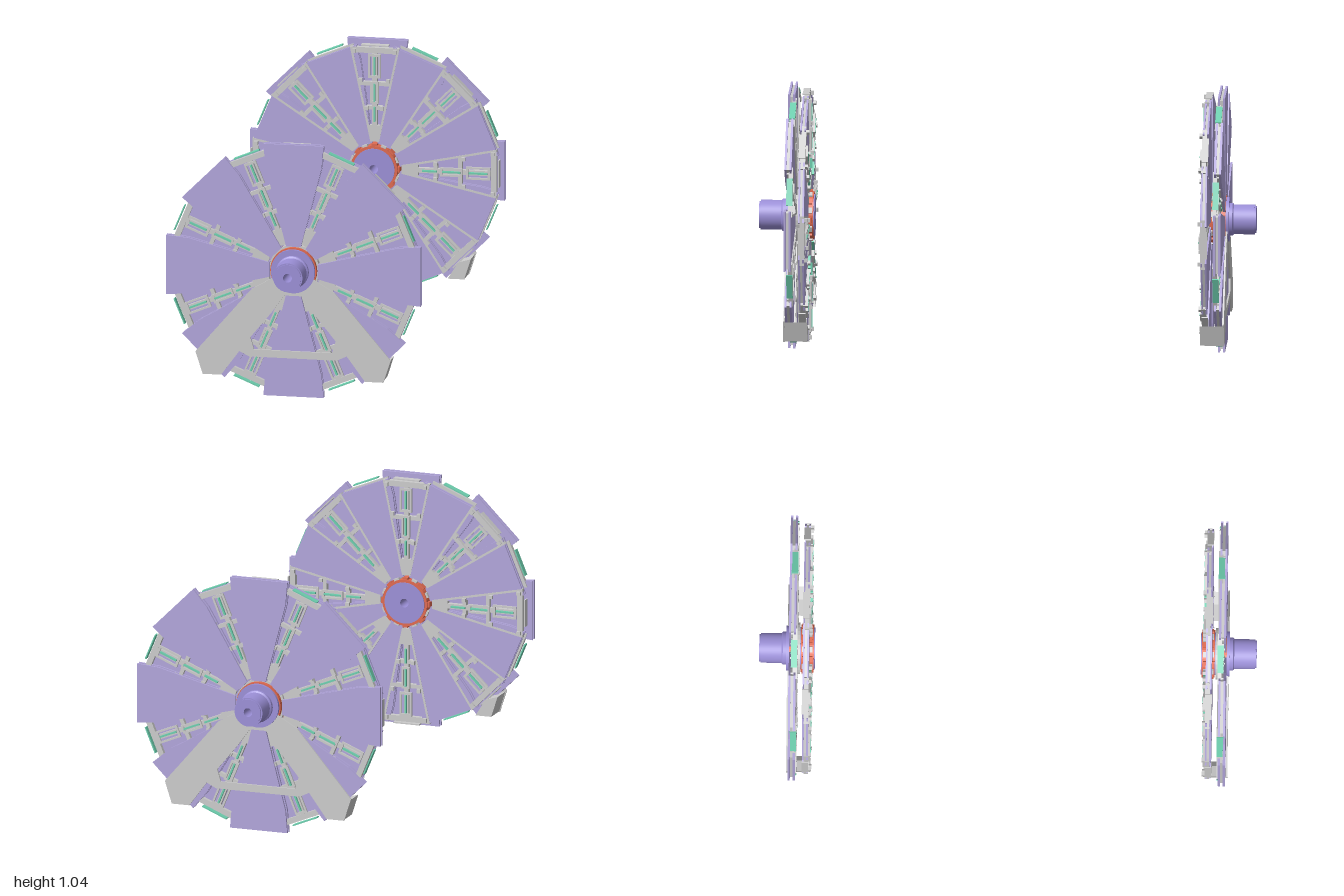
import * as THREE from 'three';

const material = (color) => new THREE.MeshStandardMaterial({ color, side: THREE.DoubleSide, flatShading: true });
const grey = material(0xcccccc), lilac = material(0xb2a6dc), red = material(0xe06a50), green = material(0x6fd0b0);
const violet = new THREE.MeshStandardMaterial({ color: 0x9c90d8 });
const CENTRE = 0.522;

function add(parent, name, geometry, mat) {
  const mesh = new THREE.Mesh(geometry, mat);
  mesh.name = name;
  parent.add(mesh);
  return mesh;
}

// Closed outline from the right half of a symmetric profile, [halfWidth, y] upwards
const mirrored = (half) => [...half, ...half.slice().reverse().map(([x, y]) => [-x, y])];
const points = (list) => list.map(([x, y]) => new THREE.Vector2(x, y));

// Flat sheet between two z levels, with optional holes
function sheet(outline, z0, z1, holes = []) {
  const shape = new THREE.Shape(points(outline));
  holes.forEach((h) => shape.holes.push(new THREE.Path(points(h))));
  return new THREE.ExtrudeGeometry(shape, { depth: z1 - z0, bevelEnabled: false }).translate(0, 0, z0);
}

function block(w, h, z0, z1, x, y) {
  return new THREE.BoxGeometry(w, h, z1 - z0).translate(x, y, (z0 + z1) / 2);
}

// Solid of revolution about z from [radius, z]
function turned(profile, segments = 48) {
  return new THREE.LatheGeometry(points(profile), segments).rotateX(Math.PI / 2).scale(1, 1, 1);
}

// Double-skinned wedge panel pointing along +y
function panel(name, reach, z0, z1) {
  const g = new THREE.Group();
  g.name = name;
  const outline = mirrored([[0.03, 0.1], [0.115, 0.43], [0.123, reach]]);
  const inset = mirrored([[0.026, 0.11], [0.108, 0.43], [0.115, reach - 0.012]]);
  const skin = (z1 - z0) * 0.3;
  add(g, 'panelSkin', sheet(outline, z1 - skin, z1), lilac);
  add(g, 'panelSkin', sheet(outline, z0, z0 + skin), lilac);
  add(g, 'panelCore', sheet(inset, z0 + skin, z1 - skin), grey);
  return g;
}

// Ladder-like truss pointing along +y; face is the z level of the visible side
function truss(name, z0, z1, out) {
  const g = new THREE.Group();
  g.name = name;
  const half = (y) => 0.018 + (y - 0.11) * 0.215;
  const levels = [0.17, 0.25, 0.35, 0.485];
  const holes = [];
  for (let i = 0; i < levels.length - 1; i++) {
    const a = levels[i] + 0.008, b = levels[i + 1] - 0.008;
    for (const s of [1, -1]) {
      holes.push([[s * 0.01, a], [s * (half(a) - 0.009), a], [s * (half(b) - 0.009), b], [s * 0.01, b]]);
    }
  }
  add(g, 'trussFrame', sheet(mirrored([[0.018, 0.11], [half(0.5), 0.5]]), z0, z1, holes), grey);
  // Raised details sit on the visible side
  const lift = (d0, d1) => (out > 0 ? [z1 + d0, z1 + d1] : [z0 - d1, z0 - d0]);
  const [r0, r1] = lift(0, 0.008);
  const frame = (y0, y1, w) => sheet(
    [[-w, y0], [w, y0], [w, y1], [-w, y1]], r0, r1,
    [[[-w + 0.008, y0 + 0.01], [w - 0.008, y0 + 0.01], [w - 0.008, y1 - 0.01], [-w + 0.008, y1 - 0.01]]]);
  add(g, 'trussBox', frame(0.375, 0.475, 0.026), grey);
  add(g, 'trussBox', frame(0.27, 0.36, 0.018), grey);
  const [s0, s1] = lift(0, 0.01);
  for (const [y, len] of [[0.425, 0.075], [0.315, 0.075], [0.225, 0.06]]) {
    add(g, 'slideStrip', block(0.007, len, s0, s1, 0, y), green);
  }
  const [c0, c1] = lift(0, 0.012);
  for (const y of [0.25, 0.365, 0.485]) {
    for (const s of [1, -1]) add(g, 'trussClip', block(0.014, 0.016, c0, c1, s * (half(y) - 0.016), y), grey);
  }
  add(g, 'endStrip', block(0.112, 0.005, z0, z1 + 0.008, 0, 0.508), out > 0 ? green : grey);
  return g;
}

// Grey support on the outer face with two splayed legs
function support() {
  const g = new THREE.Group();
  g.name = 'support';
  const outline = mirrored([
    [0.18, 0.16], [0.22, 0.18], [0.295, 0.078], [0.37, 0.078], [0.4, 0.17], [0.17, 0.44], [0.085, 0.49], [0.05, 0.5]]);
  const hole = mirrored([[0.16, 0.19], [0.175, 0.24], [0.085, 0.35], [0.035, 0.42]]);
  add(g, 'supportPlate', sheet(outline, 0.88, 0.887, [hole]), grey);
  for (const s of [1, -1]) {
    const foot = [[0.3, 0.08], [0.368, 0.08], [0.395, 0.165], [0.345, 0.15]].map(([x, y]) => [s * x, y]);
    add(g, 'foot', sheet(foot, 0.79, 0.88), grey);
  }
  g.position.y = -CENTRE;
  return g;
}

function hub() {
  const g = new THREE.Group();
  g.name = 'hub';
  const creased = (profile) => {
    // Doubled corners keep the turned edges sharp
    const doubled = profile.flatMap((p, i) => (i && i < profile.length - 1 ? [p, p] : [p]));
    const m = violet.clone();
    m.side = THREE.DoubleSide;
    return [turned(doubled), m];
  };
  add(g, 'axle', ...creased([[0.018, 0.79], [0.018, 1], [0.055, 1], [0.055, 0.994], [0.06, 0.994],
    [0.06, 0.91], [0.066, 0.905], [0.066, 0.892], [0.09, 0.892], [0.09, 0.868], [0.04, 0.868], [0.04, 0.83]]));
  add(g, 'innerDisc', ...creased([[0.018, 0.8], [0.018, 0.776], [0.085, 0.776], [0.085, 0.835], [0.018, 0.835]]));
  add(g, 'redRing', turned([[0.084, 0.78], [0.096, 0.78], [0.096, 0.832], [0.084, 0.832], [0.084, 0.78]], 32), red);
  add(g, 'outerRedRing', turned([[0.06, 0.862], [0.095, 0.862], [0.095, 0.88], [0.088, 0.88]], 32), red);
  add(g, 'spacerRing', turned([[0.08, 0.835], [0.103, 0.835], [0.103, 0.858], [0.08, 0.858], [0.08, 0.835]], 32), grey);
  for (let i = 0; i < 16; i++) {
    const clip = add(g, 'hubClip', block(0.022, 0.014, 0.785, 0.828, 0, 0.097), i % 2 ? grey : red);
    clip.rotation.z = (i * Math.PI) / 8;
  }
  return g;
}

function wheel(name) {
  const g = new THREE.Group();
  g.name = name;
  g.position.y = CENTRE;
  // Panels and trusses alternate, and the inner layer is turned by half a step
  for (let i = 0; i < 8; i++) {
    const a = (i * Math.PI) / 4, b = a + Math.PI / 8;
    const parts = [
      [panel('outerPanel', 0.522, 0.85, 0.879), a], [truss('outerTruss', 0.845, 0.862, 1), b],
      [panel('innerPanel', 0.497, 0.798, 0.822), b], [truss('innerTruss', 0.797, 0.816, -1), a]];
    for (const [part, angle] of parts) {
      part.rotation.z = angle;
      g.add(part);
    }
  }
  g.add(hub(), support());
  return g;
}

export function createModel() {
  const model = new THREE.Group();
  model.name = 'wheelPair';
  const rear = wheel('rearWheel');
  rear.rotation.y = Math.PI;
  model.add(wheel('frontWheel'), rear);
  return model;
}
